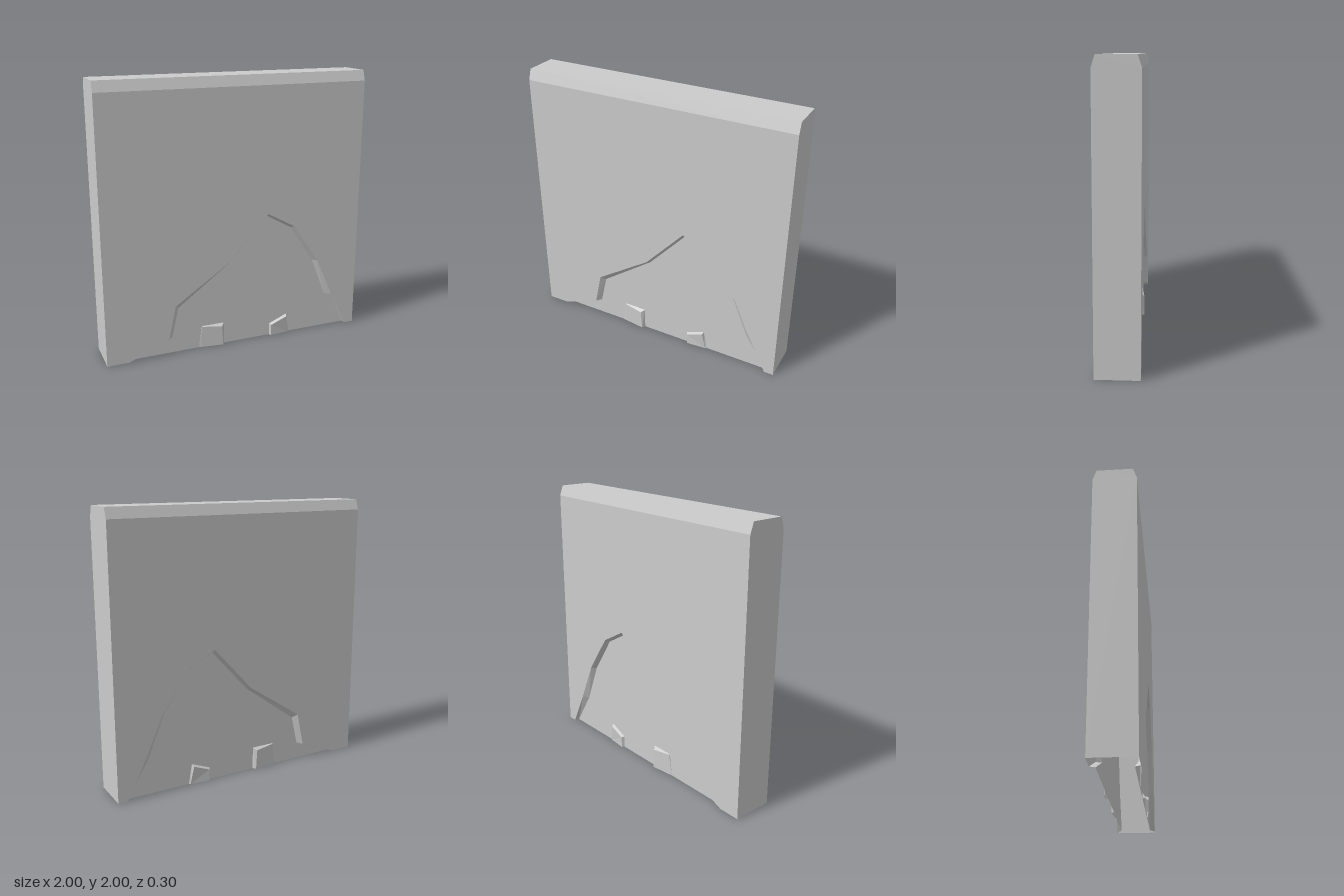
import * as THREE from 'three';

const material = new THREE.MeshStandardMaterial({ color: 0xcccccc, flatShading: true, side: THREE.DoubleSide });
const FACE = 0.148, TOP = 0.122, BEVEL = 1.925, RECESS = 0.113;

function add(group, name, geometry) {
  const mesh = new THREE.Mesh(geometry, material);
  mesh.name = name;
  group.add(mesh);
  return mesh;
}

// Flat polygon facing +z
function flat(points, z) {
  const shape = new THREE.Shape(points.map(([x, y]) => new THREE.Vector2(x, y)));
  return new THREE.ShapeGeometry(shape).translate(0, 0, z);
}

// Strip of quads joining two equally long lists of 3D points
function strip(first, second) {
  const positions = [];
  for (let i = 0; i < first.length - 1; i++) {
    const a = first[i], b = first[i + 1], c = second[i + 1], d = second[i];
    positions.push(...a, ...c, ...b, ...a, ...d, ...c);
  }
  const geometry = new THREE.BufferGeometry();
  geometry.setAttribute('position', new THREE.Float32BufferAttribute(positions, 3));
  geometry.computeVertexNormals();
  return geometry;
}

const atZ = (points, z) => points.map(([x, y]) => [x, y, z]);

// Broken plaster outline: at the wall face and at the bottom of the recess
const rimOuter = [[-0.84, 0], [-0.54, 0.12], [-0.485, 0.375], [-0.06, 0.66], [0.24, 0.99],
  [0.455, 0.87], [0.66, 0.57], [0.795, 0.27], [0.93, 0]];
const rimInner = [[-0.82, 0], [-0.505, 0.125], [-0.455, 0.345], [-0.045, 0.645], [0.245, 0.965],
  [0.44, 0.855], [0.63, 0.57], [0.75, 0.27], [0.92, 0]];

// Exposed bricks: base outline on the recess, then front outline with depths
const bricks = [
  {
    base: [[-0.3, 0], [-0.275, 0.168], [-0.1, 0.168], [-0.1, 0]],
    front: [[-0.28, 0, 0.004], [-0.275, 0.165, 0.006], [-0.125, 0.15, 0.025], [-0.115, 0, 0.025]],
  },
  {
    base: [[0.275, 0], [0.275, 0.092], [0.418, 0.15], [0.445, 0]],
    front: [[0.285, 0, 0.02], [0.285, 0.085, 0.02], [0.41, 0.135, 0.02], [0.435, 0, 0.008]],
  },
];

function createSide() {
  const side = new THREE.Group();
  // Plaster face around the broken patch
  add(side, 'plasterFace', flat([[1, 0], [1, BEVEL], [-1, BEVEL], [-1, 0], ...rimOuter], FACE));
  add(side, 'topBevel', strip([[-1, 2, TOP], [1, 2, TOP]], [[-1, BEVEL, FACE], [1, BEVEL, FACE]]));
  // Recess with its sloping rim
  add(side, 'brokenRim', strip(atZ(rimOuter, FACE), atZ(rimInner, RECESS)));
  add(side, 'recessFace', flat(rimInner, RECESS));
  // Bricks standing out of the recess
  for (const { base, front } of bricks) {
    const raised = front.map(([x, y, d]) => [x, y, RECESS + d]);
    const brick = new THREE.Group();
    brick.name = 'brick';
    add(brick, 'brickEdges', strip(atZ(base, RECESS), raised));
    add(brick, 'brickFace', strip([raised[1], raised[2]], [raised[0], raised[3]]));
    side.add(brick);
  }
  return side;
}

export function createModel() {
  const wall = new THREE.Group();
  wall.name = 'wall';

  // Front and its mirror image at the back
  const front = createSide();
  front.name = 'frontSide';
  const back = createSide();
  back.name = 'backSide';
  back.scale.z = -1;
  wall.add(front, back);

  // Top cap; the underside stays open
  add(wall, 'topCap', strip([[-1, 2, -TOP], [1, 2, -TOP]], [[-1, 2, TOP], [1, 2, TOP]]));

  // End caps
  const profile = [[-FACE, 0], [FACE, 0], [FACE, BEVEL], [TOP, 2], [-TOP, 2], [-FACE, BEVEL]];
  for (const s of [1, -1]) {
    add(wall, s > 0 ? 'leftEnd' : 'rightEnd', flat(profile, 1).rotateY(s * Math.PI / 2));
  }
  return wall;
}
